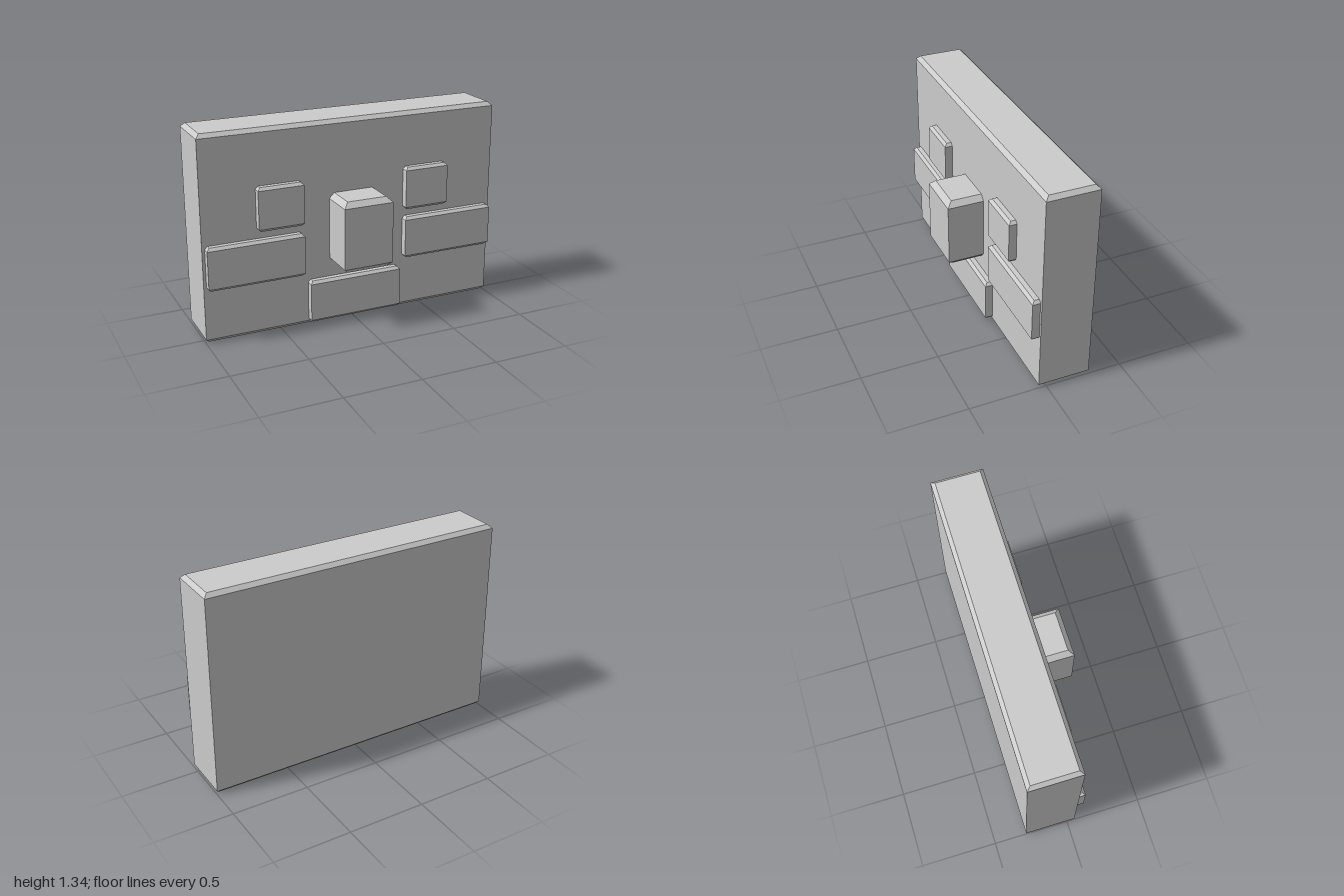
import * as THREE from 'three';

const material = new THREE.MeshStandardMaterial({ color: 0xcccccc, flatShading: true });

// Block whose top and bottom rims are chamfered on all four sides
function chamferedBlock(name, [x0, x1], [y0, y1], [z0, z1], c) {
  const w = x1 - x0, h = y1 - y0, d = z1 - z0;
  const geometry = new THREE.BoxGeometry(w, h, d, 1, 3, 1);
  const p = geometry.attributes.position;
  for (let i = 0; i < p.count; i++) {
    const y = p.getY(i);
    if (Math.abs(y) > h / 2 - 1e-4) {
      // cap corners move inward
      p.setX(i, Math.sign(p.getX(i)) * (w / 2 - c));
      p.setZ(i, Math.sign(p.getZ(i)) * (d / 2 - c));
    } else {
      // inner rings slide out to the chamfer line
      p.setY(i, Math.sign(y) * (h / 2 - c));
    }
  }
  geometry.computeVertexNormals();
  const mesh = new THREE.Mesh(geometry, material);
  mesh.name = name;
  mesh.position.set((x0 + x1) / 2, (y0 + y1) / 2, (z0 + z1) / 2);
  return mesh;
}

export function createModel() {
  const model = new THREE.Group();
  model.name = 'blockFace';

  // Large slab behind the features
  model.add(chamferedBlock('slab', [-1, 1], [0, 1.335], [-0.285, 0.05], 0.025));

  // Eyes and cheeks, mirrored
  for (const [side, s] of [['left', 1], ['right', -1]]) {
    const span = (a, b) => (s > 0 ? [a, b] : [-b, -a]);
    model.add(chamferedBlock(side + 'Eye', span(0.35, 0.65), [0.695, 0.978], [0, 0.1], 0.018));
    model.add(chamferedBlock(side + 'Cheek', span(0.35, 0.982), [0.36, 0.643], [0, 0.1], 0.018));
  }

  // Mouth and protruding nose
  model.add(chamferedBlock('mouth', [-0.315, 0.315], [0.027, 0.31], [0, 0.1], 0.018));
  model.add(chamferedBlock('nose', [-0.165, 0.165], [0.402, 0.868], [0.015, 0.285], 0.034));

  return model;
}
